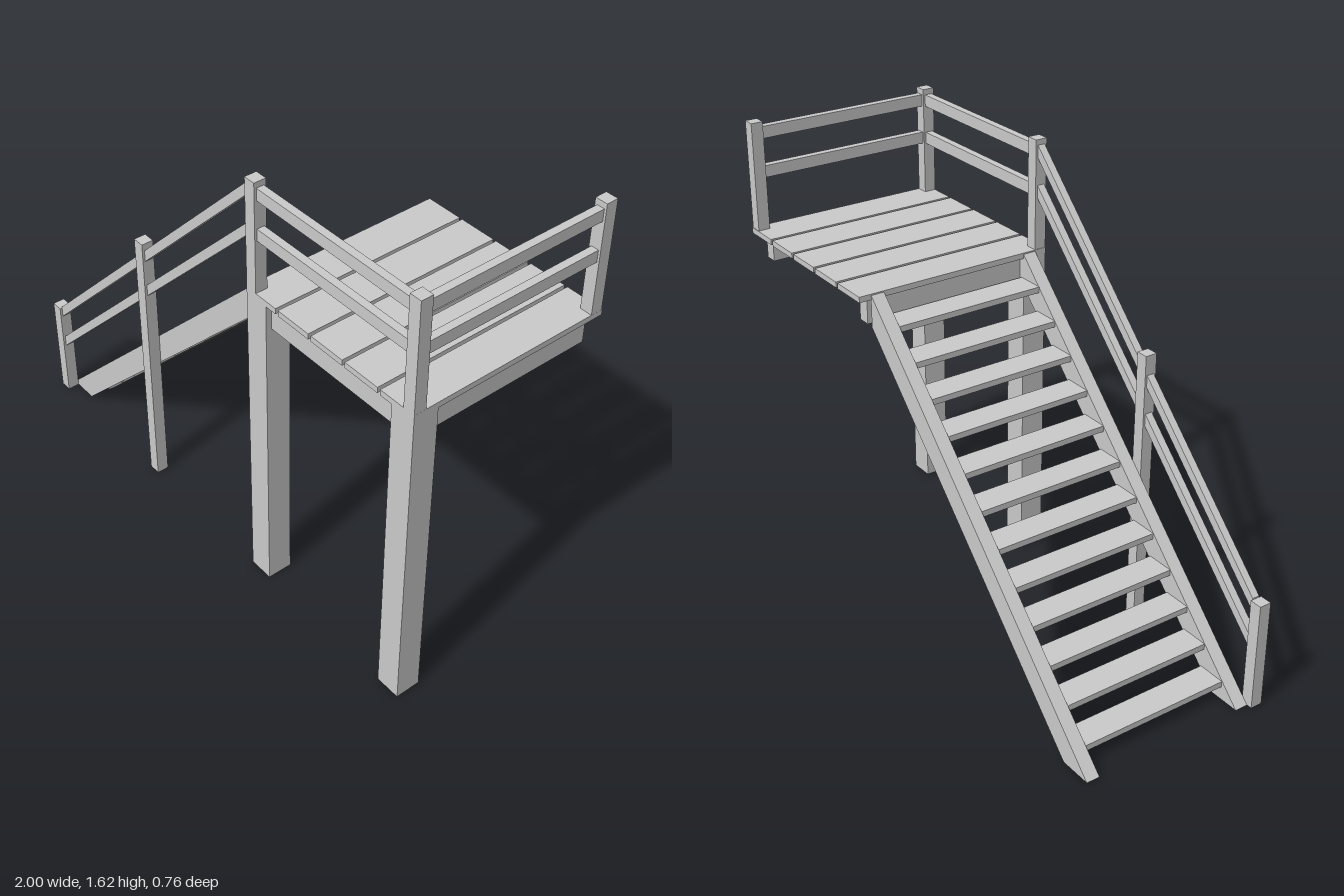
import * as THREE from 'three';

export function createModel() {
  const root = new THREE.Group();
  root.name = 'raisedDeckWithStairs';
  const mat = new THREE.MeshStandardMaterial({ color: 0xcccccc, flatShading: true });
  const openMat = new THREE.MeshStandardMaterial({ color: 0xcccccc, flatShading: true, side: THREE.DoubleSide });

  // Box given by its min and max on each axis; openBottom drops the hidden foot face
  const box = (name, [x0, x1], [y0, y1], [z0, z1], openBottom = false) => {
    const geo = new THREE.BoxGeometry(x1 - x0, y1 - y0, z1 - z0);
    if (openBottom) {
      const idx = Array.from(geo.index.array);
      idx.splice(18, 6);
      geo.setIndex(idx);
      geo.clearGroups();
    }
    const mesh = new THREE.Mesh(geo, openBottom ? openMat : mat);
    mesh.name = name;
    mesh.position.set((x0 + x1) / 2, (y0 + y1) / 2, (z0 + z1) / 2);
    root.add(mesh);
  };

  // Side profile in x/y, extruded from z0 to z1
  const slab = (name, points, [z0, z1]) => {
    const shape = new THREE.Shape(points.map(([x, y]) => new THREE.Vector2(x, y)));
    const geo = new THREE.ExtrudeGeometry(shape, { depth: z1 - z0, bevelEnabled: false });
    const mesh = new THREE.Mesh(geo, mat);
    mesh.name = name;
    mesh.position.z = z0;
    root.add(mesh);
  };

  const postZ = [0.335, 0.38];
  const railZ = [0.343, 0.371];

  // Legs and the cross beams centred on them
  for (const x of [0.287, 0.953]) {
    box('leg', [x - 0.047, x + 0.047], [0, 1.197], [0.287, 0.38], true);
    box('crossBeam', [x - 0.024, x + 0.024], [1.1, 1.197], [-0.34, 0.287]);
  }

  // Joists running along the deck
  box('frontJoist', [0.334, 0.906], [1.1, 1.197], [0.31, 0.358]);
  box('middleJoist', [0.311, 0.929], [1.1, 1.197], [-0.025, 0.023]);

  // Deck planks
  for (let i = 0; i < 5; i++) {
    const x = 0.238 + i * 0.1548;
    box('deckPlank', [x, x + 0.143], [1.197, 1.218], [-0.383, 0.38]);
  }

  // Deck railing posts
  box('deckPost', [0.24, 0.285], [1.197, 1.62], postZ);
  box('deckPost', [0.955, 1], [1.197, 1.62], postZ);
  box('deckPost', [0.955, 1], [1.197, 1.62], [-0.38, -0.335]);

  // Deck rails, front and end
  for (const y of [1.41, 1.555]) {
    box('frontRail', [0.285, 0.955], [y, y + 0.044], railZ);
    box('endRail', [0.964, 0.992], [y, y + 0.044], [-0.335, 0.335]);
  }

  // Stair railing posts
  box('stairPost', [-1, -0.955], [0, 0.405], postZ, true);
  box('stairPost', [-0.385, -0.34], [0, 1.05], postZ, true);

  // Sloping stair rails, split at the middle post
  for (const base of [0.22, 0.365]) {
    const y = (x) => base + (x + 0.955) * 0.996;
    for (const [a, b] of [[-0.955, -0.385], [-0.34, 0.24]]) {
      slab('stairRail', [[a, y(a)], [b, y(b)], [b, y(b) + 0.045], [a, y(a) + 0.045]], railZ);
    }
  }

  // Stringers, cut flat on the ground and plumb at the deck
  const stringer = [[-0.98, 0], [-0.86, 0], [0.24, 1.095], [0.24, 1.215]];
  for (const z of [-0.337, 0.285]) slab('stringer', stringer, [z, z + 0.05]);

  // Treads
  for (let i = 0; i < 12; i++) {
    const x = -0.905 + i * 0.0953;
    const y = 0.05 + i * 0.0955;
    box('tread', [x, x + 0.105], [y, y + 0.022], [-0.287, 0.285]);
  }

  return root;
}
